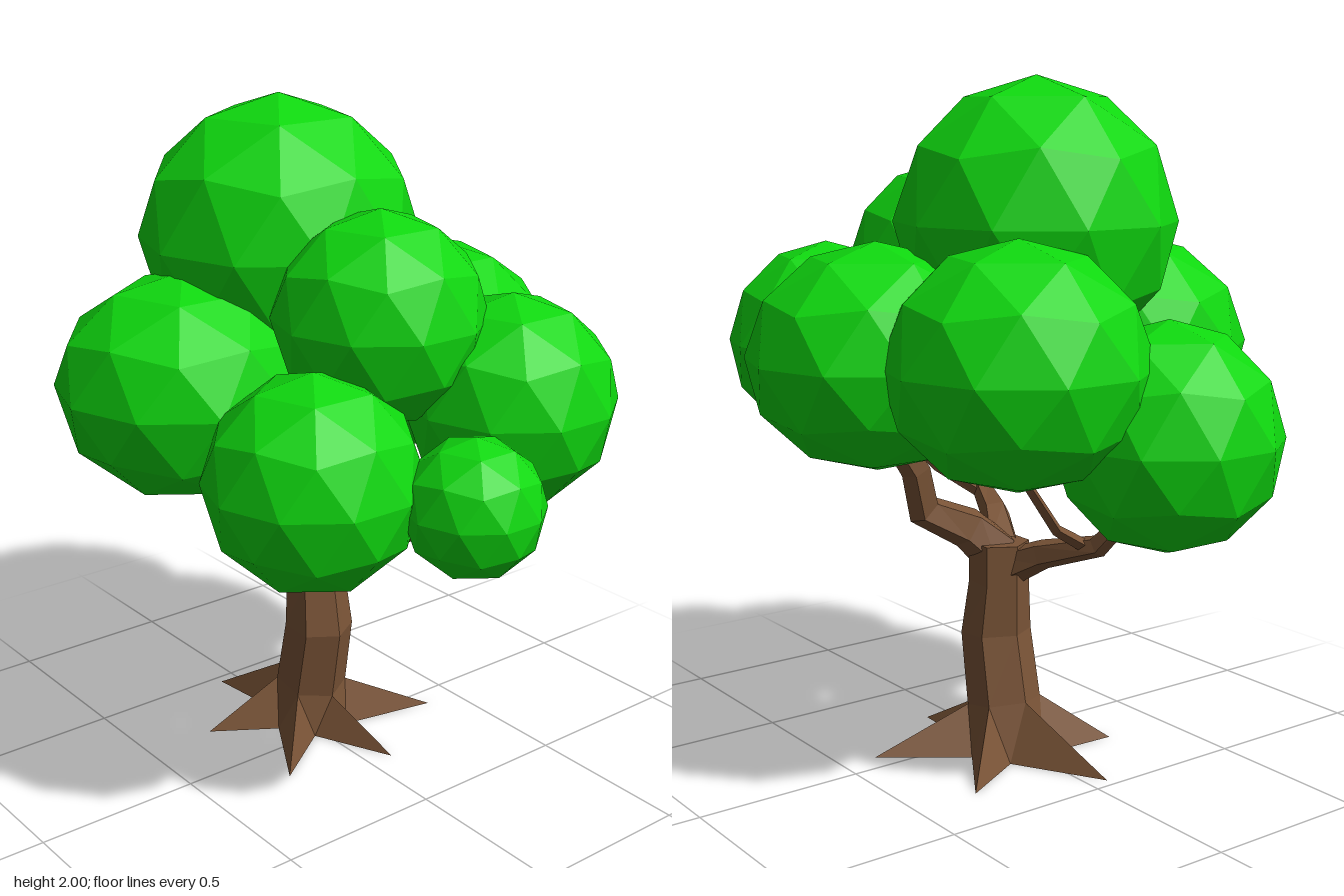
import * as THREE from 'three';

const bark = new THREE.MeshStandardMaterial({ color: 0x7a5437, flatShading: true });
bark.name = 'bark brown';
const leaf = new THREE.MeshStandardMaterial({ color: 0x0fd80f, flatShading: true });
leaf.name = 'leaf green';

const V = (x, y, z) => new THREE.Vector3(x, y, z);

// Mesh from a flat list of triangle corners
function facetMesh(name, corners) {
  const geo = new THREE.BufferGeometry().setFromPoints(corners);
  geo.computeVertexNormals();
  const mesh = new THREE.Mesh(geo, bark);
  mesh.name = name;
  return mesh;
}

// Rings of points around a path; each path entry is [x, y, z, radius]
function makeRings(path, sides) {
  const pts = path.map(([x, y, z]) => V(x, y, z));
  const along = pts[pts.length - 1].clone().sub(pts[0]).normalize();
  const ref = Math.abs(along.x) < 0.7 ? V(1, 0, 0) : V(0, 0, 1);
  return pts.map((p, i) => {
    const t = pts[Math.min(i + 1, pts.length - 1)].clone().sub(pts[Math.max(i - 1, 0)]).normalize();
    const u = ref.clone().addScaledVector(t, -ref.dot(t)).normalize();
    const w = t.clone().cross(u);
    return Array.from({ length: sides }, (_, k) => {
      const a = (k / sides) * Math.PI * 2;
      return p.clone()
        .addScaledVector(u, Math.cos(a) * path[i][3])
        .addScaledVector(w, Math.sin(a) * path[i][3]);
    });
  });
}

// Triangles joining the rings, with a cap on the far end
function skin(rings) {
  const out = [];
  const n = rings[0].length;
  for (let r = 0; r < rings.length - 1; r++) {
    for (let k = 0; k < n; k++) {
      const j = (k + 1) % n;
      const [a, b, c, d] = [rings[r][k], rings[r][j], rings[r + 1][j], rings[r + 1][k]];
      out.push(a, b, c, a, c, d);
    }
  }
  const end = rings[rings.length - 1];
  for (let k = 1; k < n - 1; k++) out.push(end[0], end[k], end[k + 1]);
  return out;
}

export function createModel() {
  const tree = new THREE.Group();
  tree.name = 'tree';

  // Bent six-sided trunk
  const trunkRings = makeRings([
    [-0.085, 0.15, -0.025, 0.11],
    [-0.045, 0.36, -0.025, 0.105],
    [-0.06, 0.52, -0.025, 0.09],
    [-0.06, 0.64, -0.025, 0.09],
  ], 6);
  tree.add(facetMesh('trunk', skin(trunkRings)));

  // Star of pointed roots, one from each trunk corner
  const tips = [[0.25, -0.08], [0.07, -0.39], [-0.32, -0.3], [-0.47, 0.06], [-0.22, 0.28], [0.15, 0.24]]
    .map(([x, z]) => V(x, 0, z));
  const valleys = tips.map((_, i) => {
    const a = ((i + 0.5) * Math.PI) / 3;
    return V(-0.1 + 0.125 * Math.cos(a), 0, -0.03 - 0.125 * Math.sin(a));
  });
  const roots = [];
  const floor = V(-0.1, 0, -0.03);
  tips.forEach((tip, i) => {
    const corner = trunkRings[0][i];
    const next = trunkRings[0][(i + 1) % 6];
    const before = valleys[(i + 5) % 6];
    const after = valleys[i];
    roots.push(tip, after, corner, before, tip, corner, corner, after, next);
    roots.push(floor, after, tip, floor, tip, before);
  });
  tree.add(facetMesh('roots', roots));

  // Limbs and twigs reaching into the leaves
  const limbs = {
    backLimb: [[-0.05, 0.6, -0.02, 0.075], [-0.01, 0.68, -0.1, 0.065], [0.02, 0.75, -0.24, 0.052], [0, 0.88, -0.28, 0.045], [0, 1.0, -0.36, 0.04]],
    leftLimb: [[-0.04, 0.61, 0, 0.06], [0.06, 0.69, 0.05, 0.045], [0.23, 0.735, 0.12, 0.032], [0.34, 0.87, 0.24, 0.022]],
    rightLimb: [[-0.08, 0.56, -0.01, 0.06], [-0.2, 0.62, 0.03, 0.045], [-0.38, 0.675, 0.09, 0.034], [-0.5, 0.82, 0.14, 0.025]],
    leftOuterTwig: [[0.2, 0.725, 0.11, 0.02], [0.36, 0.79, 0.1, 0.017], [0.65, 0.95, 0.08, 0.013]],
    leftBackTwig: [[0.2, 0.72, 0.1, 0.02], [0.3, 0.8, 0.0, 0.017], [0.42, 1.02, -0.17, 0.013]],
    rightBackTwig: [[-0.34, 0.665, 0.08, 0.02], [-0.365, 0.74, -0.05, 0.017], [-0.36, 0.98, -0.22, 0.013]],
  };
  for (const [name, path] of Object.entries(limbs)) {
    tree.add(facetMesh(name, skin(makeRings(path, name.endsWith('Twig') ? 4 : 5))));
  }

  // Faceted leaf ball with a corner pointing straight up
  const ball = new THREE.IcosahedronGeometry(1, 1);
  ball.rotateX(-Math.atan((1 + Math.sqrt(5)) / 2));
  ball.rotateY(-Math.PI / 2);
  ball.computeVertexNormals();

  // Each clump: name, x, y, z, radius, half height
  const clumps = [
    ['topLeaves', -0.14, 1.59, 0.045, 0.41, 0.41],
    ['frontLeaves', -0.115, 1.215, 0.4, 0.373, 0.325],
    ['rightLeaves', -0.612, 1.025, 0.137, 0.325, 0.325],
    ['leftFrontLeaves', 0.415, 1.065, 0.353, 0.303, 0.305],
    ['leftSmallLeaves', 0.735, 1.025, 0.07, 0.195, 0.195],
    ['leftUpperLeaves', 0.32, 1.445, 0.05, 0.3, 0.3],
    ['leftBackLeaves', 0.52, 1.2, -0.26, 0.305, 0.305],
    ['backLeaves', 0.005, 1.22, -0.407, 0.372, 0.325],
    ['rightBackLeaves', -0.455, 1.235, -0.255, 0.37, 0.34],
  ];
  for (const [name, x, y, z, r, h] of clumps) {
    const mesh = new THREE.Mesh(ball, leaf);
    mesh.name = name;
    mesh.position.set(x, y, z);
    mesh.scale.set(r, h, r);
    tree.add(mesh);
  }
  return tree;
}
